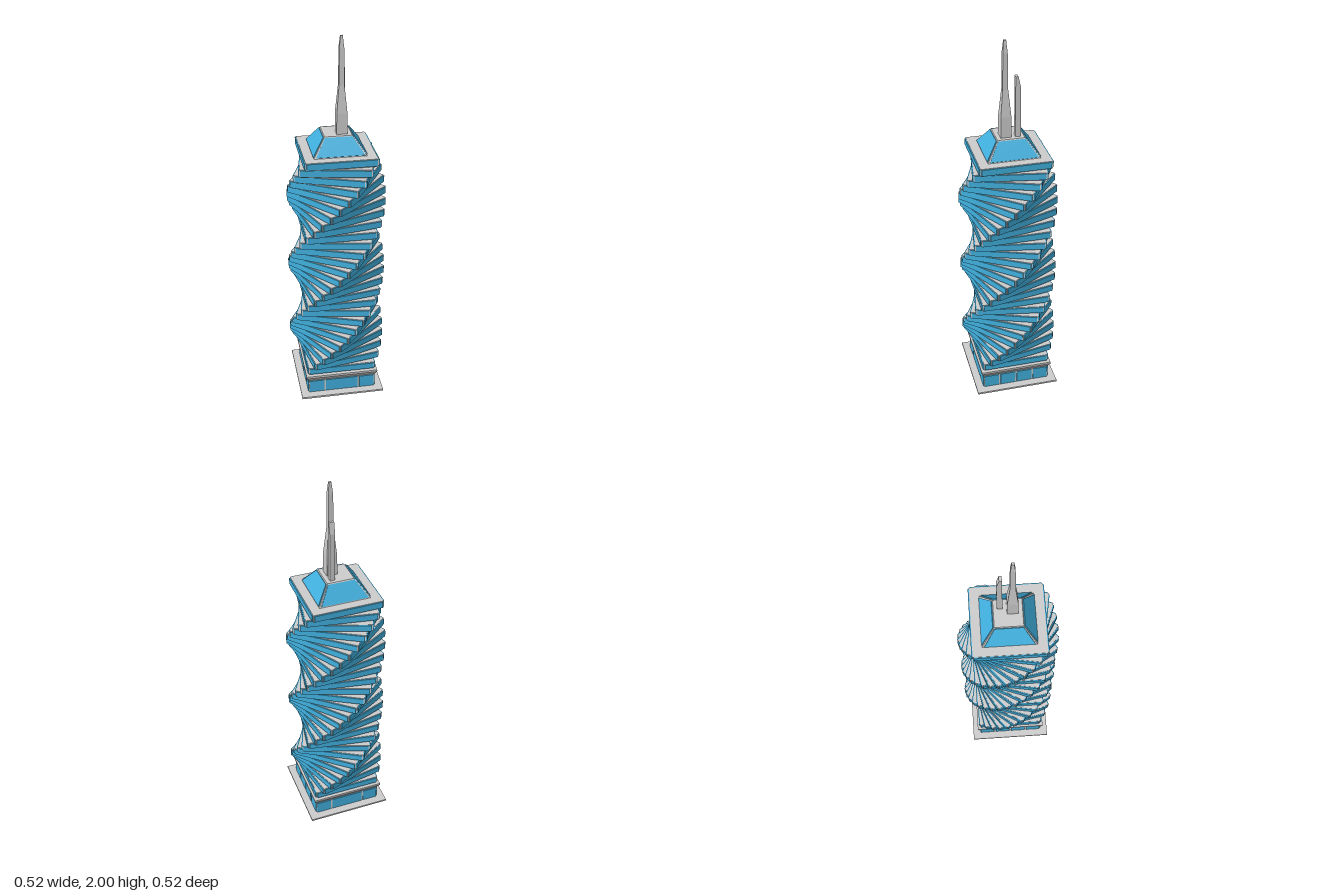
import * as THREE from 'three';

const grey = new THREE.MeshStandardMaterial({ color: 0xcccccc, flatShading: true });
const blue = new THREE.MeshStandardMaterial({ color: 0x41b0de, flatShading: true });

function add(parent, name, geometry, material, x = 0, y = 0, z = 0) {
  const mesh = new THREE.Mesh(geometry, material);
  mesh.name = name;
  mesh.position.set(x, y, z);
  parent.add(mesh);
  return mesh;
}

// Box given by its bottom height and full size
function box(parent, name, material, w, h, d, x, y0, z) {
  return add(parent, name, new THREE.BoxGeometry(w, h, d), material, x, y0 + h / 2, z);
}

// Square frustum given by half widths at bottom and top
function frustum(parent, name, material, r0, r1, y0, y1, x = 0, z = 0) {
  const g = new THREE.CylinderGeometry(r1 * Math.SQRT2, r0 * Math.SQRT2, y1 - y0, 4);
  g.rotateY(Math.PI / 4);
  return add(parent, name, g, material, x, (y0 + y1) / 2, z);
}

function createBase() {
  const base = new THREE.Group();
  base.name = 'base';
  box(base, 'groundPlate', grey, 0.46, 0.01, 0.46, 0, 0, 0);
  box(base, 'lobby', grey, 0.37, 0.085, 0.37, 0, 0.01, 0);
  // Window spans: three panes front and back, four on the sides
  const three = [[-0.182, -0.1], [-0.09, 0.09], [0.1, 0.182]];
  const four = [[-0.182, -0.1], [-0.09, -0.005], [0.005, 0.09], [0.1, 0.182]];
  for (let i = 0; i < 4; i++) {
    const side = new THREE.Group();
    side.name = 'lobbyWindows';
    side.rotation.y = i * Math.PI / 2;
    for (const [a, b] of i % 2 ? four : three)
      box(side, 'window', blue, b - a, 0.072, 0.008, (a + b) / 2, 0.014, 0.186);
    base.add(side);
  }
  frustum(base, 'corniceFlare', grey, 0.186, 0.2, 0.09, 0.113);
  box(base, 'corniceTop', grey, 0.4, 0.012, 0.4, 0, 0.113, 0);
  return base;
}

// Twenty-eight floors, each turned ten degrees from the one below
function createTower() {
  const tower = new THREE.Group();
  tower.name = 'twistedTower';
  const count = 28, pitch = 0.0459;
  for (let i = 0; i < count; i++) {
    const floor = new THREE.Group();
    floor.name = 'floor';
    floor.position.y = 0.125 + i * pitch;
    floor.rotation.y = THREE.MathUtils.degToRad(i * 10);
    box(floor, 'neck', grey, 0.35, 0.006, 0.35, 0, 0, 0);
    box(floor, 'slab', grey, 0.368, pitch - 0.006, 0.368, 0, 0.006, 0);
    for (let k = 0; k < 4; k++) {
      const a = k * Math.PI / 2;
      const band = box(floor, 'glassBand', blue, 0.358, 0.034, 0.008,
        Math.sin(a) * 0.186, 0.009, Math.cos(a) * 0.186);
      band.rotation.y = a;
    }
    tower.add(floor);
  }
  return tower;
}

function createRoof() {
  const roof = new THREE.Group();
  roof.name = 'roof';
  frustum(roof, 'roofBody', grey, 0.136, 0.071, 1.41, 1.5);
  // Sloping glass panels leaning against the four faces
  const shape = new THREE.Shape([[-0.125, 0], [0.125, 0], [0.07, 0.101], [-0.07, 0.101]]
    .map(p => new THREE.Vector2(...p)));
  const panel = new THREE.ExtrudeGeometry(shape, { depth: 0.005, bevelEnabled: false });
  panel.rotateX(-Math.atan2(0.065, 0.09));
  panel.translate(0, 1.413, 0.134);
  for (let i = 0; i < 4; i++)
    add(roof, 'roofGlass', panel, blue).rotation.y = i * Math.PI / 2;
  return roof;
}

function createSpires() {
  const spires = new THREE.Group();
  spires.name = 'spires';
  // Tall mast: height and half width of each section
  const mast = [[1.49, 0.028], [1.61, 0.027], [1.75, 0.014], [1.94, 0.012], [2.0, 0.006]];
  for (let i = 0; i < mast.length - 1; i++)
    frustum(spires, 'mastSection', grey, mast[i][1], mast[i + 1][1],
      mast[i][0], mast[i + 1][0], 0.022, 0.022);
  // Short mast with a chamfered back edge; profile is drawn in z and y
  const profile = new THREE.Shape([[0.026, 1.49], [0.053, 1.49], [0.053, 1.76], [0.04, 1.82], [0.026, 1.82]]
    .map(p => new THREE.Vector2(...p)));
  const g = new THREE.ExtrudeGeometry(profile, { depth: 0.027, bevelEnabled: false });
  g.rotateY(Math.PI / 2);
  add(spires, 'shortMast', g, grey, 0.023, 0, 0);
  return spires;
}

export function createModel() {
  const model = new THREE.Group();
  model.name = 'twistedSkyscraper';
  model.add(createBase(), createTower(), createRoof(), createSpires());
  return model;
}
